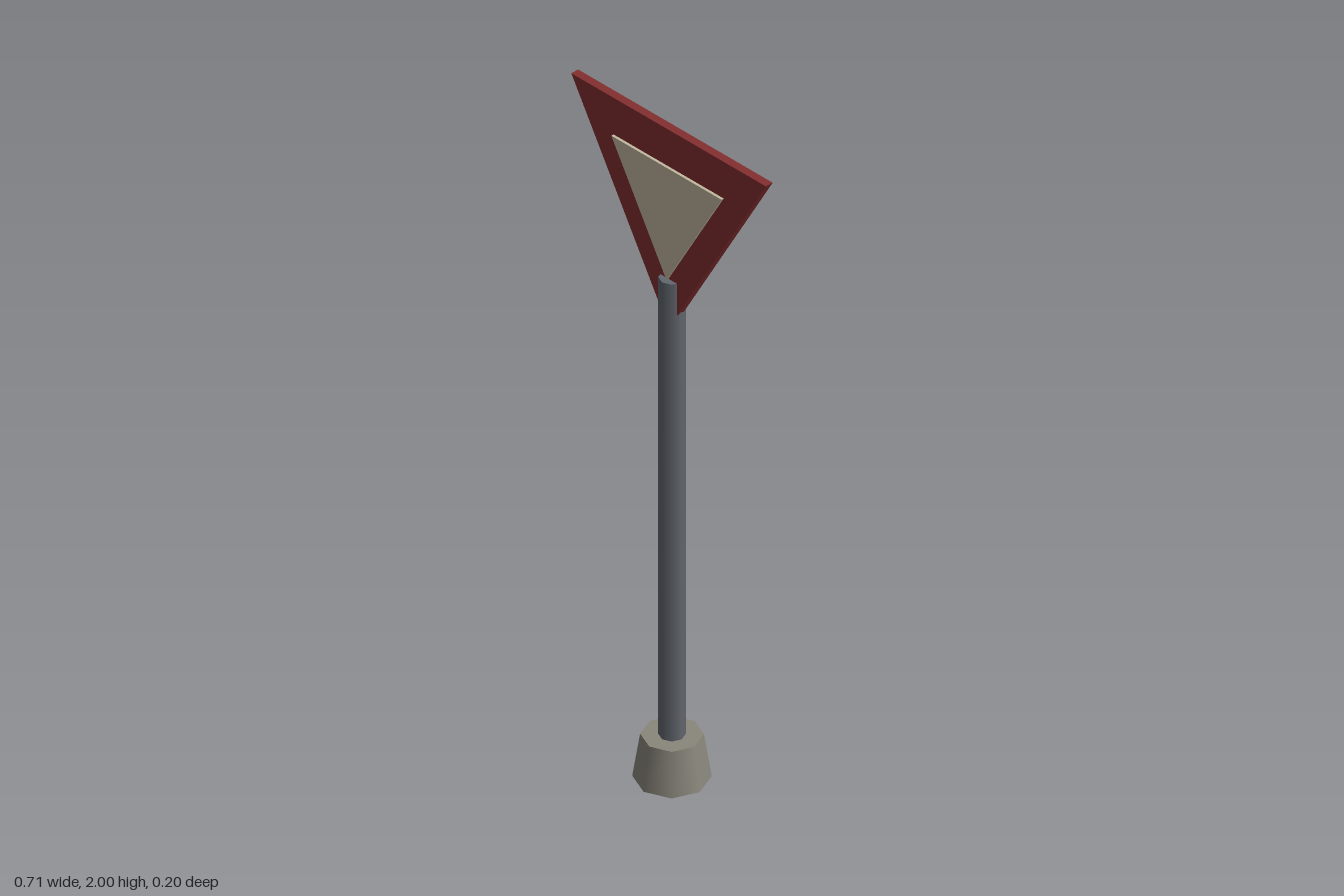
import * as THREE from 'three';

const paint = (name, color) => {
  const m = new THREE.MeshStandardMaterial({ color });
  m.name = name;
  return m;
};

// Downward-pointing equilateral triangle, extruded and centred on z
function trianglePlate(halfWidth, topY, depth) {
  const s = new THREE.Shape();
  s.moveTo(-halfWidth, topY);
  s.lineTo(0, topY - halfWidth * Math.sqrt(3));
  s.lineTo(halfWidth, topY);
  s.closePath();
  return new THREE.ExtrudeGeometry(s, { depth, bevelEnabled: false }).translate(0, 0, -depth / 2);
}

export function createModel() {
  const group = new THREE.Group();
  group.name = 'yieldSign';
  const red = paint('sign red', 0x842e30);
  const cream = paint('cream', 0xc4b9a1);
  const steel = paint('steel grey', 0x62676e);
  const concrete = paint('concrete', 0x8a877c);

  const add = (name, geometry, material, y = 0, z = 0) => {
    const mesh = new THREE.Mesh(geometry, material);
    mesh.name = name;
    mesh.position.set(0, y, z);
    group.add(mesh);
  };

  // Tapered foot and octagonal pole
  add('base', new THREE.CylinderGeometry(0.081, 0.101, 0.13, 8), concrete, 0.065);
  add('pole', new THREE.CylinderGeometry(0.035, 0.035, 1.54, 8), steel, 0.77);

  // Red board with a raised cream panel on each face
  add('signBoard', trianglePlate(0.353, 2, 0.024), red);
  for (const [name, side] of [['frontPanel', 1], ['backPanel', -1]]) {
    add(name, trianglePlate(0.2, 1.887, 0.008), cream, 0, side * 0.016);
  }
  return group;
}
